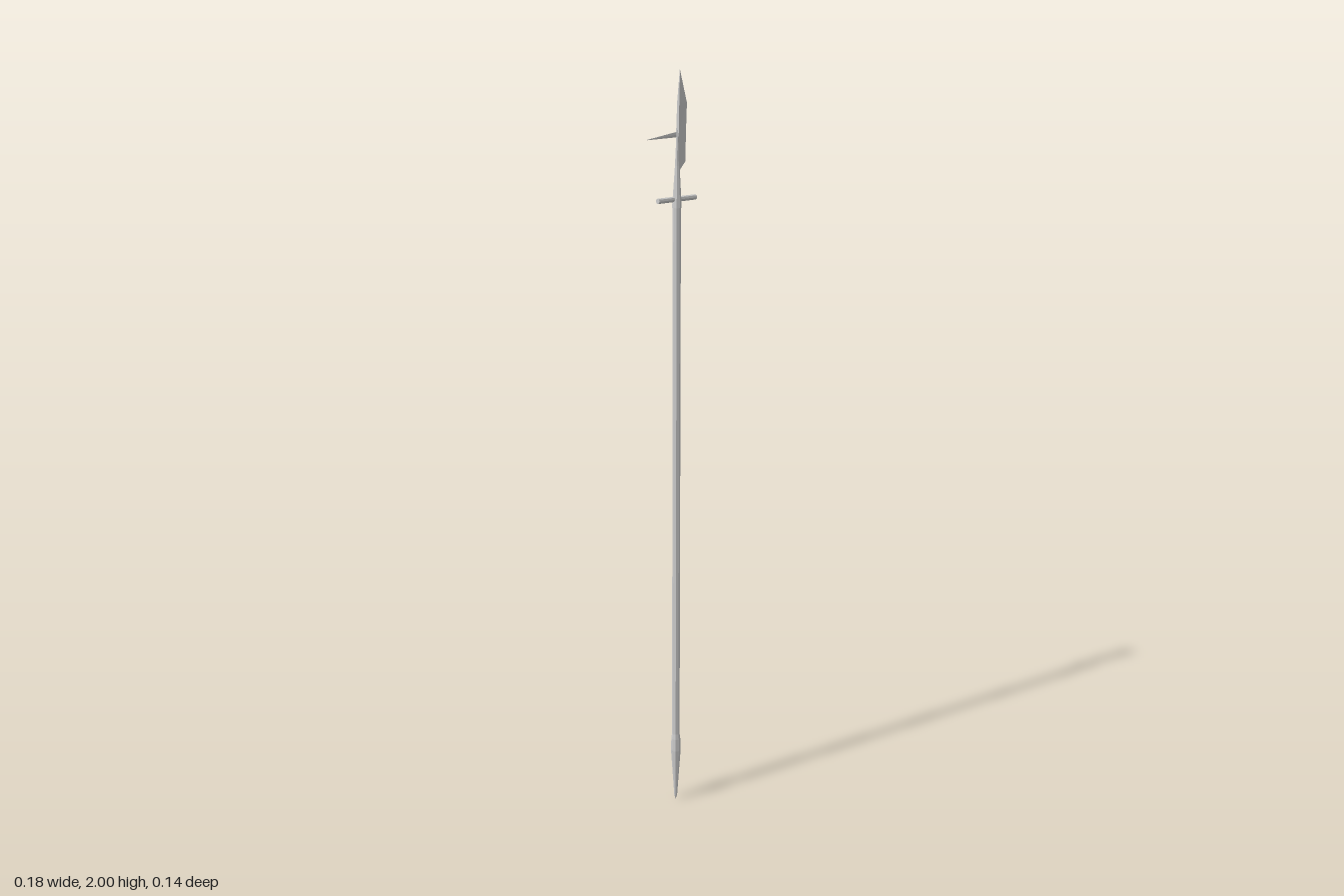
import * as THREE from 'three';

const material = new THREE.MeshStandardMaterial({ color: 0xcccccc, flatShading: true, side: THREE.DoubleSide });
const UP = new THREE.Vector3(0, 1, 0);
const V = (x, y, z) => new THREE.Vector3(x, y, z);

function addMesh(parent, name, geometry) {
  const mesh = new THREE.Mesh(geometry, material);
  mesh.name = name;
  parent.add(mesh);
  return mesh;
}

// Tapered rod between two points
function addRod(parent, name, a, b, rA, rB, sides = 8) {
  const dir = b.clone().sub(a);
  const mesh = addMesh(parent, name, new THREE.CylinderGeometry(rB, rA, dir.length(), sides));
  mesh.position.copy(a).add(b).multiplyScalar(0.5);
  mesh.quaternion.setFromUnitVectors(UP, dir.normalize());
  return mesh;
}

// Wedge-section blade: thick spine on one side, sharp edge on the other
function bladeGeometry() {
  // spine x, spine y, spine z, half thickness, edge x, edge y, edge z
  const stations = [
    [0.034, 1.745, -0.056, 0.004, 0.068, 1.765, -0.064],
    [0.037, 1.84, -0.060, 0.005, 0.074, 1.84, -0.068],
    [0.040, 1.92, -0.060, 0.004, 0.080, 1.912, -0.071],
    [0.043, 2.0, -0.057, 0.0005, 0.045, 1.997, -0.058],
  ];
  const positions = [];
  const index = [];
  stations.forEach(([sx, sy, sz, t, ex, ey, ez], i) => {
    positions.push(sx, sy, sz + t, ex, ey, ez, sx, sy, sz - t);
    if (i === 0) return;
    const a = (i - 1) * 3, b = i * 3;
    for (let k = 0; k < 3; k++) {
      const n = (k + 1) % 3;
      index.push(a + k, a + n, b + n, a + k, b + n, b + k);
    }
  });
  const last = (stations.length - 1) * 3;
  index.push(0, 2, 1, last, last + 1, last + 2);
  const geometry = new THREE.BufferGeometry();
  geometry.setAttribute('position', new THREE.Float32BufferAttribute(positions, 3));
  geometry.setIndex(index);
  geometry.computeVertexNormals();
  return geometry;
}

export function createModel() {
  const group = new THREE.Group();
  group.name = 'polearm';

  // Leaning shaft
  const foot = V(-0.085, 0, 0.063);
  const head = V(0.022, 1.66, -0.046);
  const along = (t) => foot.clone().lerp(head, t);
  addRod(group, 'shaft', along(0.1), head, 0.0105, 0.0105);

  // Pointed butt cap
  const length = foot.distanceTo(head);
  const profile = [[0, 0], [0.004, 0.012], [0.0135, 0.15], [0.0125, 0.185], [0.0105, 0.2]]
    .map(([r, y]) => new THREE.Vector2(r, y * length / 1.66));
  const butt = addMesh(group, 'buttCap', new THREE.LatheGeometry(profile, 8));
  butt.position.copy(foot);
  butt.quaternion.setFromUnitVectors(UP, head.clone().sub(foot).normalize());

  // Socket tapering into the blade spine
  addRod(group, 'socket', V(0.022, 1.655, -0.046), V(0.031, 1.76, -0.054), 0.0125, 0.006);
  addRod(group, 'neck', V(0.031, 1.76, -0.054), V(0.037, 1.85, -0.060), 0.006, 0.002);

  // Cross bar below the blade
  addRod(group, 'crossBar', V(-0.039, 1.68, -0.051), V(0.091, 1.672, -0.051), 0.007, 0.007);

  addMesh(group, 'blade', bladeGeometry());

  // Thin flat spike opposite the cutting edge
  const spike = addRod(group, 'backSpike', V(0.037, 1.838, -0.061), V(-0.065, 1.837, -0.061), 0.007, 0.0005, 4);
  spike.scale.z = 0.25;

  return group;
}
